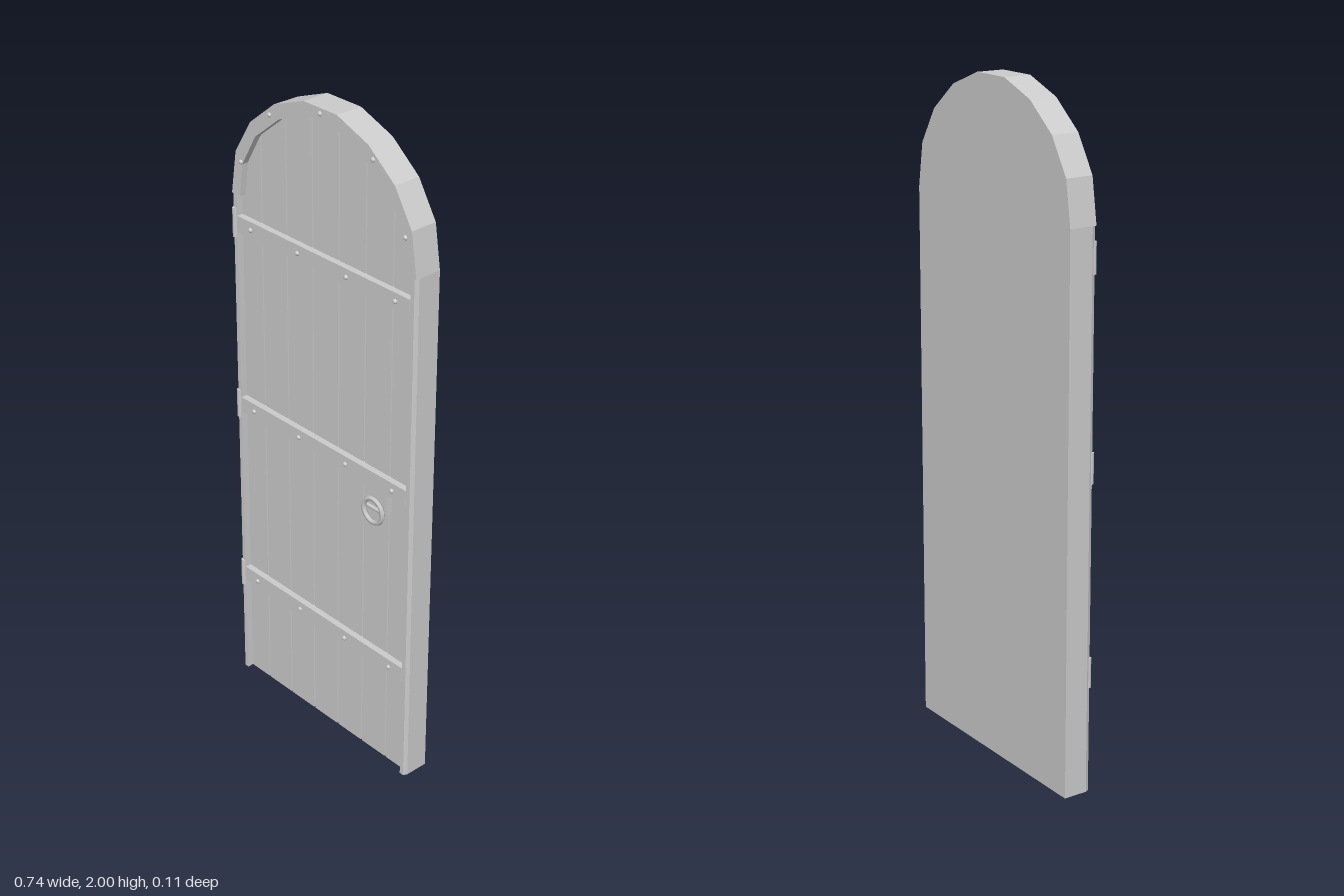
import * as THREE from 'three';

const iron = new THREE.MeshStandardMaterial({ color: 0xcccccc });
iron.name = 'plain grey';

// right half of the arch, from the spring line up to the crown
const outerArch = [[0.37, 1.64], [0.35, 1.77], [0.285, 1.875], [0.185, 1.955], [0.065, 2]];
const innerArch = [[0.335, 1.64], [0.322, 1.74], [0.265, 1.838], [0.165, 1.918], [0.06, 1.963]];
const fullArch = (half) => [...half, ...half.slice().reverse().map(([x, y]) => [-x, y])];
const toShape = (pts) => new THREE.Shape(pts.map(([x, y]) => new THREE.Vector2(x, y)));

// height of the arch outline above a given x
function archHeight(x) {
  const a = Math.abs(x);
  for (let i = 0; i < outerArch.length - 1; i++) {
    const [x0, y0] = outerArch[i], [x1, y1] = outerArch[i + 1];
    if (a <= x0 && a >= x1) return y0 + (y1 - y0) * (x0 - a) / (x0 - x1);
  }
  return 2;
}

export function createModel() {
  const door = new THREE.Group();
  door.name = 'archedDoor';

  const add = (name, geometry, x = 0, y = 0, z = 0) => {
    const mesh = new THREE.Mesh(geometry, iron);
    mesh.name = name;
    mesh.position.set(x, y, z);
    door.add(mesh);
    return mesh;
  };
  const slab = (name, pts, z0, z1) =>
    add(name, new THREE.ExtrudeGeometry(toShape(pts), { depth: z1 - z0, bevelEnabled: false }), 0, 0, z0);
  const box = (name, x0, x1, y0, y1, z0, z1) =>
    add(name, new THREE.BoxGeometry(x1 - x0, y1 - y0, z1 - z0), (x0 + x1) / 2, (y0 + y1) / 2, (z0 + z1) / 2);

  // solid back
  slab('doorBack', [[-0.37, 0], [0.37, 0], ...fullArch(outerArch)], -0.055, 0);

  // seven planks with narrow grooves between them, tops following the arch
  const seams = [-0.352, -0.265, -0.16, -0.053, 0.053, 0.16, 0.265, 0.352];
  for (let i = 0; i < seams.length - 1; i++) {
    const a = seams[i] + 0.0025, b = seams[i + 1] - 0.0025;
    const top = fullArch(outerArch).filter(([x]) => x > a && x < b);
    const pts = [[a, 0], [b, 0], [b, archHeight(b)], ...top, [a, archHeight(a)]]
      .map(([x, y]) => [x, y > 0 ? y - 0.01 : 0]);
    slab('plank', pts, -0.002, 0.01);
  }

  // arched iron band
  slab('archBand', [...fullArch(outerArch), ...fullArch(innerArch).reverse()], 0, 0.03);

  // side edging with a small chamfer on the outer front corner
  for (const s of [-1, 1]) {
    const profile = [[0.35, 0], [0.37, 0], [0.37, 0.018], [0.364, 0.03], [0.35, 0.03]]
      .map(([x, z]) => [s * x, -z]);
    const g = new THREE.ExtrudeGeometry(toShape(profile), { depth: 1.64, bevelEnabled: false });
    g.rotateX(-Math.PI / 2).scale(1, 1, 1);
    add('sideEdging', g);
  }

  // domed nail heads
  const nailGeometry = new THREE.SphereGeometry(0.0075, 10, 5, 0, Math.PI * 2, 0, Math.PI / 2);
  nailGeometry.rotateX(Math.PI / 2).scale(1, 1, 0.9);
  const nail = (x, y) => add('nail', nailGeometry, x, y, 0.0295);
  for (const [x, y] of [[0, 1.984], [0.203, 1.92], [-0.203, 1.92], [0.327, 1.745], [-0.327, 1.745]]) nail(x, y);

  // horizontal straps with nails and hinge barrels
  for (const y of [0.361, 0.965, 1.55]) {
    box('strap', -0.36, 0.347, y - 0.025, y + 0.025, 0, 0.0295);
    for (const x of [-0.293, -0.095, 0.103, 0.293]) nail(x, y);
    add('hingeBarrel', new THREE.CylinderGeometry(0.0085, 0.0085, 0.09, 10), -0.36, y + 0.003, 0.0285);
  }

  // handle plate, pivot bar and pull ring
  box('handlePlate', 0.199, 0.275, 0.875, 0.942, 0, 0.0295);
  const bar = add('handleBar', new THREE.CylinderGeometry(0.006, 0.006, 0.07, 8), 0.236, 0.88, 0.034);
  bar.rotation.z = Math.PI / 2;
  add('pullRing', new THREE.TorusGeometry(0.038, 0.0075, 6, 20), 0.236, 0.88, 0.0455);

  return door;
}
